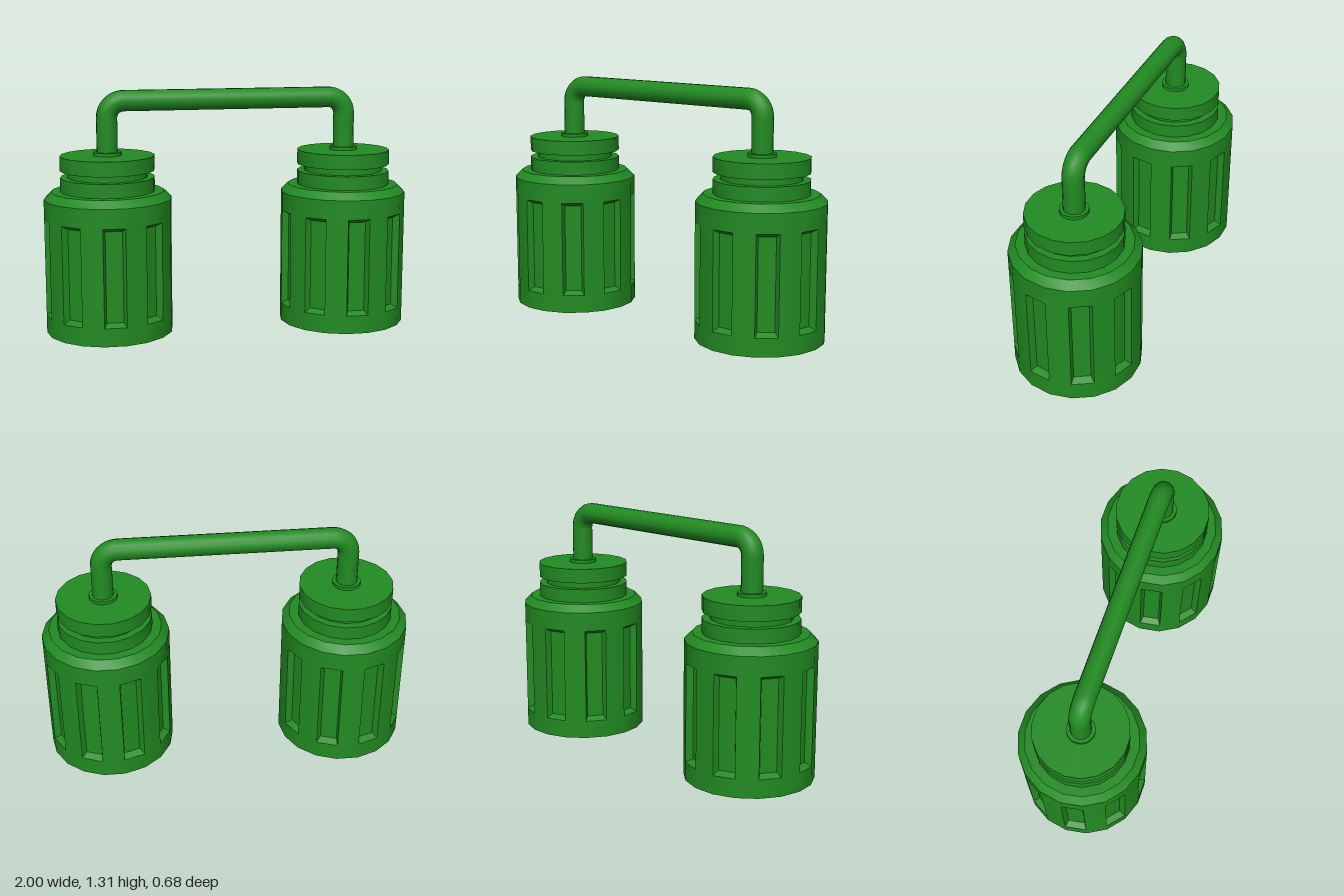
import * as THREE from 'three';
import { toCreasedNormals } from 'three/addons/utils/BufferGeometryUtils.js';

const SIDES = 18;
const STEP = (Math.PI * 2) / SIDES;
const RADIUS = 0.345;
const CUP_X = 0.655;
const CREASE = Math.PI / 6;

const material = new THREE.MeshStandardMaterial({ color: 0x228b22, side: THREE.DoubleSide });

function mesh(name, geometry) {
  const m = new THREE.Mesh(toCreasedNormals(geometry, CREASE), material);
  m.name = name;
  return m;
}

// Open-bottomed wall: every second facet carries a recessed grip slot
function gripWall() {
  const pos = [];
  const quad = (a, b, c, d) => [a, b, c, a, c, d].forEach((p) => pos.push(p.x, p.y, p.z));
  const levels = [0, 0.1, 0.63, 0.735];
  const apothem = RADIUS * Math.cos(STEP / 2);
  const half = RADIUS * Math.sin(STEP / 2);
  const up = new THREE.Vector3(0, 1, 0);

  for (let i = 0; i < SIDES; i++) {
    // Point on the facet: sideways offset, height and depth below the surface
    const at = (s, y, depth = 0) =>
      new THREE.Vector3(s, y, apothem - depth).applyAxisAngle(up, i * STEP);
    for (let j = 0; j < 3; j++) {
      const [lo, hi] = [levels[j], levels[j + 1]];
      const outer = [at(-half, lo), at(half, lo), at(half, hi), at(-half, hi)];
      if (j !== 1 || i % 2) {
        quad(...outer);
        continue;
      }
      const h = 0.045, m = 0.02, d = 0.035;
      const inner = [at(-h, lo + m, d), at(h, lo + m, d), at(h, hi - m, d), at(-h, hi - m, d)];
      quad(...inner);
      for (let k = 0; k < 4; k++) {
        const n = (k + 1) % 4;
        quad(outer[k], outer[n], inner[n], inner[k]);
      }
    }
  }
  const g = new THREE.BufferGeometry();
  g.setAttribute('position', new THREE.Float32BufferAttribute(pos, 3));
  return g;
}

function lathe(points) {
  return new THREE.LatheGeometry(points.map(([r, y]) => new THREE.Vector2(r, y)), SIDES, STEP / 2);
}

function createCup(name, x) {
  const cup = new THREE.Group();
  cup.name = name;
  cup.position.x = x;
  cup.add(mesh('gripWall', gripWall()));
  // Bevelled shoulder, grooved neck and flat cap
  cup.add(mesh('neck', lathe([
    [RADIUS, 0.735], [0.305, 0.775], [0.255, 0.775], [0.255, 0.85], [0.215, 0.85],
    [0.215, 0.887], [0.255, 0.887], [0.255, 0.967], [0, 0.967],
  ])));
  // Small ring where the pipe enters
  cup.add(mesh('collar', lathe([[0.076, 0.965], [0.076, 0.985], [0, 0.985]])));
  return cup;
}

// Pipe with two rounded corners joining the cups
function createPipe() {
  const y = 1.258, bend = 0.09, k = 0.552;
  const v = (x, h) => new THREE.Vector3(x, h, 0);
  const path = new THREE.CurvePath();
  const corner = (s) => [
    v(s * CUP_X, y - bend), v(s * CUP_X, y - bend * (1 - k)),
    v(s * (CUP_X - bend * (1 - k)), y), v(s * (CUP_X - bend), y),
  ];
  const left = corner(1), right = corner(-1).reverse();
  path.add(new THREE.LineCurve3(v(CUP_X, 0.97), left[0]));
  path.add(new THREE.CubicBezierCurve3(...left));
  path.add(new THREE.LineCurve3(left[3], right[0]));
  path.add(new THREE.CubicBezierCurve3(...right));
  path.add(new THREE.LineCurve3(right[3], v(-CUP_X, 0.97)));
  return mesh('pipe', new THREE.TubeGeometry(path, 110, 0.057, 14, false));
}

export function createModel() {
  const model = new THREE.Group();
  model.name = 'twinCups';
  model.add(createCup('leftCup', CUP_X), createCup('rightCup', -CUP_X), createPipe());
  return model;
}
